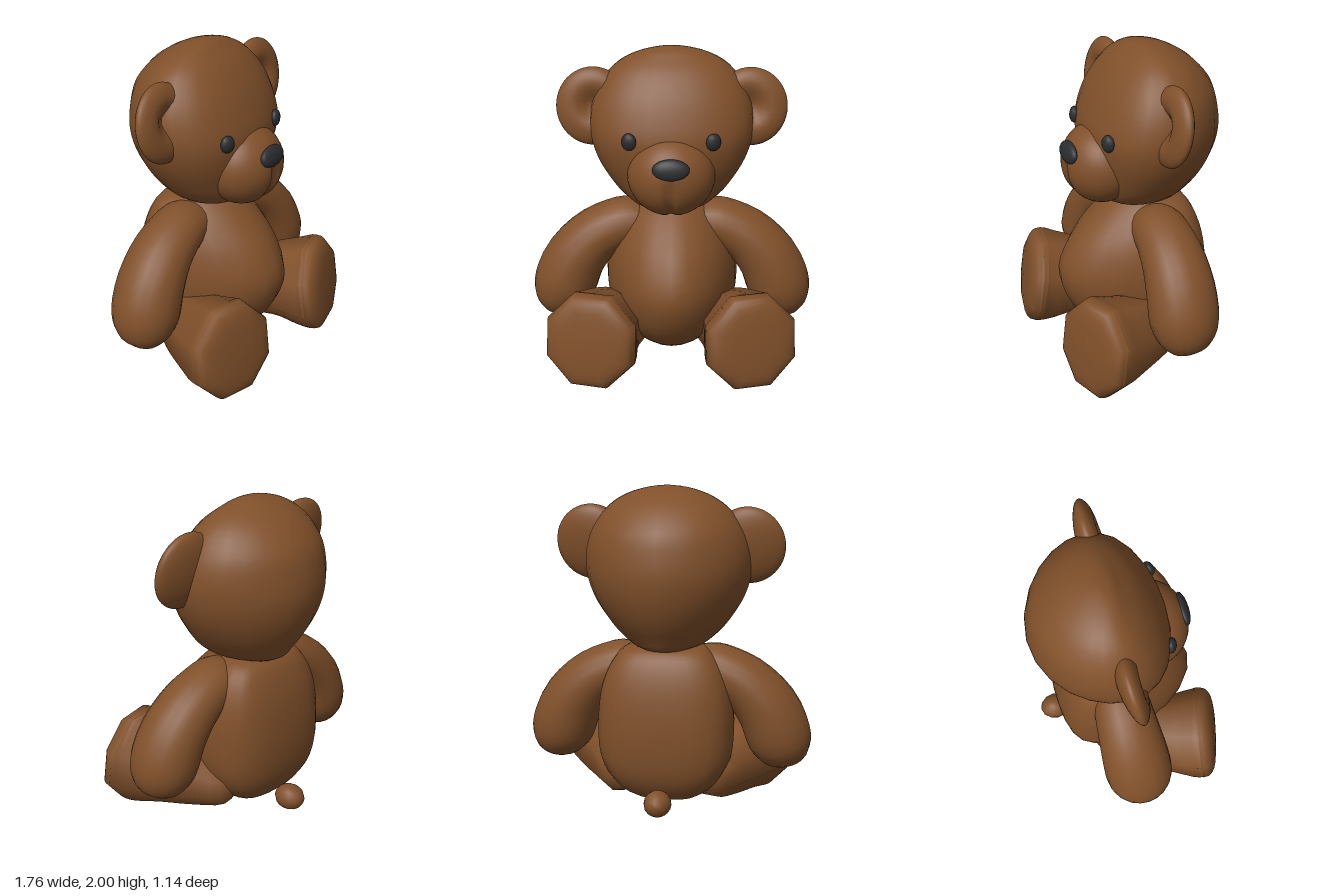
import * as THREE from 'three';
import { mergeVertices } from 'three/addons/utils/BufferGeometryUtils.js';

const fur = new THREE.MeshStandardMaterial({ color: 0x80502a });
const dark = new THREE.MeshStandardMaterial({ color: 0x2b2d30 });

// Smooth closed skin through elliptical sections [x, y, z, radiusAcross, radiusAlongRef];
// skew moves the widest part of each section along ref
function loft(rows, ref, { sides = 20, steps = 24, axis = null, turn = 0, skew = 0 } = {}) {
  const centres = new THREE.CatmullRomCurve3(rows.map(r => new THREE.Vector3(r[0], r[1], r[2])), false, 'catmullrom');
  const radii = new THREE.CatmullRomCurve3(rows.map(r => new THREE.Vector3(r[3], r[4], 0)), false, 'catmullrom');
  const pos = [], index = [];
  for (let i = 0; i <= steps; i++) {
    const t = i / steps;
    const c = centres.getPoint(t), r = radii.getPoint(t);
    const dir = axis ? axis.clone() : centres.getTangent(t);
    const v = ref.clone().addScaledVector(dir, -ref.dot(dir)).normalize();
    const u = v.clone().cross(dir);
    for (let j = 0; j < sides; j++) {
      const a = turn + (j / sides) * Math.PI * 2;
      const p = c.clone()
        .addScaledVector(u, Math.max(r.x, 0) * Math.cos(a))
        .addScaledVector(v, Math.max(r.y, 0) * (Math.sin(a) + skew * Math.cos(a) ** 2));
      pos.push(p.x, p.y, p.z);
      if (i < steps) {
        const k = (j + 1) % sides, A = i * sides, B = A + sides;
        index.push(A + j, A + k, B + k, A + j, B + k, B + j);
      }
    }
  }
  let g = new THREE.BufferGeometry();
  g.setAttribute('position', new THREE.Float32BufferAttribute(pos, 3));
  g.setIndex(index);
  g = mergeVertices(g, 1e-5);
  g.computeVertexNormals();
  return g;
}

// Ellipsoid, optionally reshaped by a rule acting on its unit-sphere points
function blob(rx, ry, rz, rule = null, w = 20, h = 14) {
  let g = new THREE.SphereGeometry(1, w, h);
  g.deleteAttribute('uv');
  g.deleteAttribute('normal');
  g = mergeVertices(g, 1e-5);
  const p = g.attributes.position, q = new THREE.Vector3();
  for (let i = 0; i < p.count; i++) {
    q.fromBufferAttribute(p, i);
    if (rule) rule(q);
    p.setXYZ(i, q.x * rx, q.y * ry, q.z * rz);
  }
  g.computeVertexNormals();
  return g;
}

export function createModel() {
  const bear = new THREE.Group();
  bear.name = 'teddyBear';
  const Y = new THREE.Vector3(0, 1, 0), Z = new THREE.Vector3(0, 0, 1);
  const add = (name, geometry, material = fur, at = [0, 0, 0]) => {
    const m = new THREE.Mesh(geometry, material);
    m.name = name;
    m.position.set(...at);
    bear.add(m);
    return m;
  };
  // Upright form from [y, front z, back z, half width]
  const upright = (rows, skew) => loft(
    rows.map(([y, f, b, w]) => [0, y, (f + b) / 2, w, (f - b) / 2]), Z,
    { axis: Y, sides: 24, steps: 3 * (rows.length - 1), skew });

  add('body', upright([
    [0.05, -0.1, -0.1, 0], [0.09, 0.1, -0.3, 0.19], [0.2, 0.28, -0.4, 0.33], [0.35, 0.4, -0.445, 0.405],
    [0.55, 0.455, -0.455, 0.42], [0.75, 0.37, -0.435, 0.4], [0.9, 0.24, -0.395, 0.35],
    [1.0, 0.13, -0.34, 0.28], [1.04, 0.06, -0.26, 0.2], [1.06, -0.1, -0.1, 0]], -0.38));

  add('head', upright([
    [1.0, -0.1, -0.1, 0], [1.025, 0.13, -0.34, 0.19], [1.1, 0.2, -0.41, 0.3], [1.21, 0.235, -0.485, 0.39],
    [1.34, 0.265, -0.54, 0.465], [1.48, 0.275, -0.565, 0.505], [1.62, 0.235, -0.55, 0.5], [1.75, 0.175, -0.51, 0.455],
    [1.87, 0.09, -0.41, 0.365], [1.945, 0.005, -0.3, 0.25], [1.985, -0.05, -0.2, 0.12], [2.0, -0.12, -0.12, 0]], 0.17));

  // Muzzle with a vertical mouth groove below the nose
  add('muzzle', blob(0.265, 0.25, 0.235, p => {
    if (p.z > 0 && p.y < 0.25) p.z -= 0.16 * Math.exp(-((p.x / 0.09) ** 2)) * Math.min(1, (0.25 - p.y) * 3);
  }, 48, 24), fur, [0, 1.28, 0.18]);
  const nose = add('nose', blob(0.11, 0.064, 0.035), dark, [0, 1.375, 0.385]);
  nose.rotation.x = -0.25;

  add('tail', blob(0.085, 0.08, 0.1, null, 12, 8), fur, [0, 0.12, -0.465]);

  for (const s of [1, -1]) {
    const side = s > 0 ? 'left' : 'right';
    const mirror = rows => rows.map(([x, ...rest]) => [s * x, ...rest]);

    const eye = add(side + 'Eye', blob(0.047, 0.053, 0.032, null, 12, 8), dark, [s * 0.25, 1.5, 0.238]);
    eye.rotation.y = s * 0.35;

    // Ear: flat disc, thinner at the rim, with a hollow in the front
    const ear = add(side + 'Ear', blob(0.225, 0.238, 0.085, p => {
      const out = s * p.x, d = Math.hypot(out + 0.05, p.y - 0.02);
      if (p.z > 0) p.z -= 1.1 * Math.exp(-((d / 0.38) ** 2));
      p.z *= 1 - 0.2 * out;
    }, 32, 24), fur, [s * 0.48, 1.64, -0.055]);
    ear.rotation.x = -0.17;

    // Arm growing out of the shoulder
    add(side + 'Arm', loft(mirror([
      [0.06, 0.9, -0.08, 0, 0], [0.14, 0.9, -0.08, 0.1, 0.13], [0.25, 0.89, -0.08, 0.15, 0.165],
      [0.36, 0.86, -0.08, 0.16, 0.18], [0.5, 0.775, -0.075, 0.175, 0.197], [0.62, 0.63, -0.065, 0.195, 0.212],
      [0.685, 0.47, -0.055, 0.2, 0.213], [0.72, 0.365, -0.04, 0.165, 0.175],
      [0.737, 0.3, -0.03, 0.1, 0.11], [0.74, 0.275, -0.03, 0, 0]]), Z));

    // Eight-sided leg reaching forward, its last section square to the sole
    const octagon = { sides: 8, turn: Math.PI / 8 };
    const out = new THREE.Vector3(0.25, 0.13, 0.96).normalize();
    const along = (d, ra, rb) => [0.488 + out.x * d, 0.291 + out.y * d, 0.43 + out.z * d, ra, rb];
    add(side + 'Leg', loft(mirror([
      [0.24, 0.22, -0.26, 0, 0], [0.265, 0.225, -0.2, 0.14, 0.14], [0.33, 0.24, 0, 0.205, 0.21],
      [0.42, 0.27, 0.2, 0.25, 0.26], along(-0.06, 0.295, 0.31), along(0, 0.302, 0.315)]), Y, { ...octagon, steps: 15 }));

    // Domed sole closing the foot
    add(side + 'Sole', loft(mirror([
      along(0, 0.302, 0.315), along(0.05, 0.282, 0.295), along(0.085, 0.2, 0.21), along(0.097, 0, 0)]), Y,
      { ...octagon, axis: new THREE.Vector3(s * out.x, out.y, out.z), steps: 9 }));
  }
  return bear;
}
